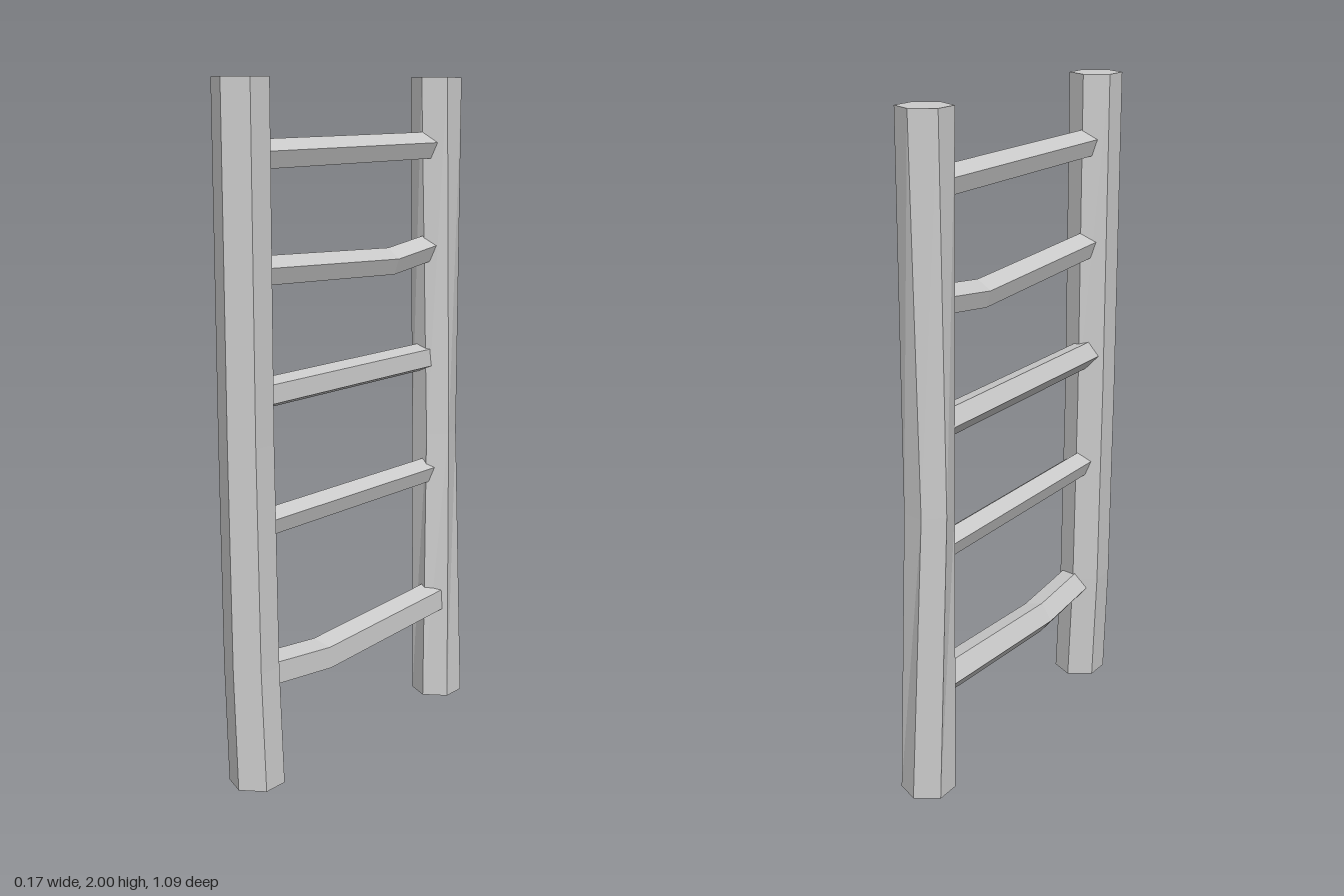
import * as THREE from 'three';

const material = new THREE.MeshStandardMaterial({ color: 0xcccccc, flatShading: true, roughness: 0.9 });

// Skin a closed solid over equal-sized rings of points, with flat end caps.
function loft(name, rings) {
  const n = rings[0].length;
  const position = rings.flat(2);
  const index = [];
  for (let r = 0; r < rings.length - 1; r++) {
    for (let i = 0; i < n; i++) {
      const a = r * n + i, b = r * n + (i + 1) % n;
      index.push(a, b, b + n, a, b + n, a + n);
    }
  }
  const last = (rings.length - 1) * n;
  for (let i = 1; i < n - 1; i++) {
    index.push(0, i + 1, i);
    index.push(last, last + i, last + i + 1);
  }
  const indexed = new THREE.BufferGeometry();
  indexed.setAttribute('position', new THREE.Float32BufferAttribute(position, 3));
  indexed.setIndex(index);
  const geometry = indexed.toNonIndexed();
  geometry.computeVertexNormals();
  const mesh = new THREE.Mesh(geometry, material);
  mesh.name = name;
  return mesh;
}

// Angles of a regular polygon, starting from a turn in degrees.
const angles = (sides, turn) =>
  Array.from({ length: sides }, (_, i) => THREE.MathUtils.degToRad(turn + (i * 360) / sides));

// Horizontal six-sided ring of a post.
const postRing = ({ x, y, z, r, turn = 0 }) =>
  angles(6, turn).map((a) => [x + r * Math.sin(a), y, z + r * Math.cos(a)]);

// Upright five-sided ring of a rung.
const rungRing = (x, y, z, r, turn) =>
  angles(5, turn).map((a) => [x + r * Math.cos(a), y + r * Math.sin(a), z]);

export function createModel() {
  const ladder = new THREE.Group();
  ladder.name = 'ladder';

  // Posts: rough poles leaning slightly, the back one twisted at mid height
  ladder.add(loft('frontPost', [
    { x: 0.012, y: 0, z: 0.463, r: 0.081 },
    { x: -0.002, y: 0.35, z: 0.464, r: 0.08 },
    { x: -0.011, y: 1, z: 0.465, r: 0.079 },
    { x: -0.015, y: 2, z: 0.466, r: 0.08 },
  ].map(postRing)));
  ladder.add(loft('backPost', [
    { x: 0.012, y: 0, z: -0.465, r: 0.08 },
    { x: -0.01, y: 0.88, z: -0.467, r: 0.072, turn: 15 },
    { x: -0.015, y: 2, z: -0.466, r: 0.079 },
  ].map(postRing)));

  // Rungs: five-sided sticks, two of them sagging at a kink
  const end = 0.43;
  const rungs = [
    { x: 0.013, y: 0.325, r: 0.054, turn: 40, kink: { z: 0.17, drop: 0.027 } },
    { x: -0.01, y: 0.755, r: 0.041, turn: 20 },
    { x: -0.02, y: 1.125, r: 0.046, turn: 41 },
    { x: -0.013, y: 1.474, r: 0.044, turn: 16, kink: { z: -0.21, drop: 0.027 } },
    { x: -0.013, y: 1.79, r: 0.044, turn: 16 },
  ];
  rungs.forEach(({ x, y, r, turn, kink }, i) => {
    const rings = [rungRing(x, y, -end, r, turn)];
    if (kink) rings.push(rungRing(x, y - kink.drop, kink.z, r, turn));
    rings.push(rungRing(x, y, end, r, turn));
    ladder.add(loft(`rung${i + 1}`, rings));
  });

  return ladder;
}
